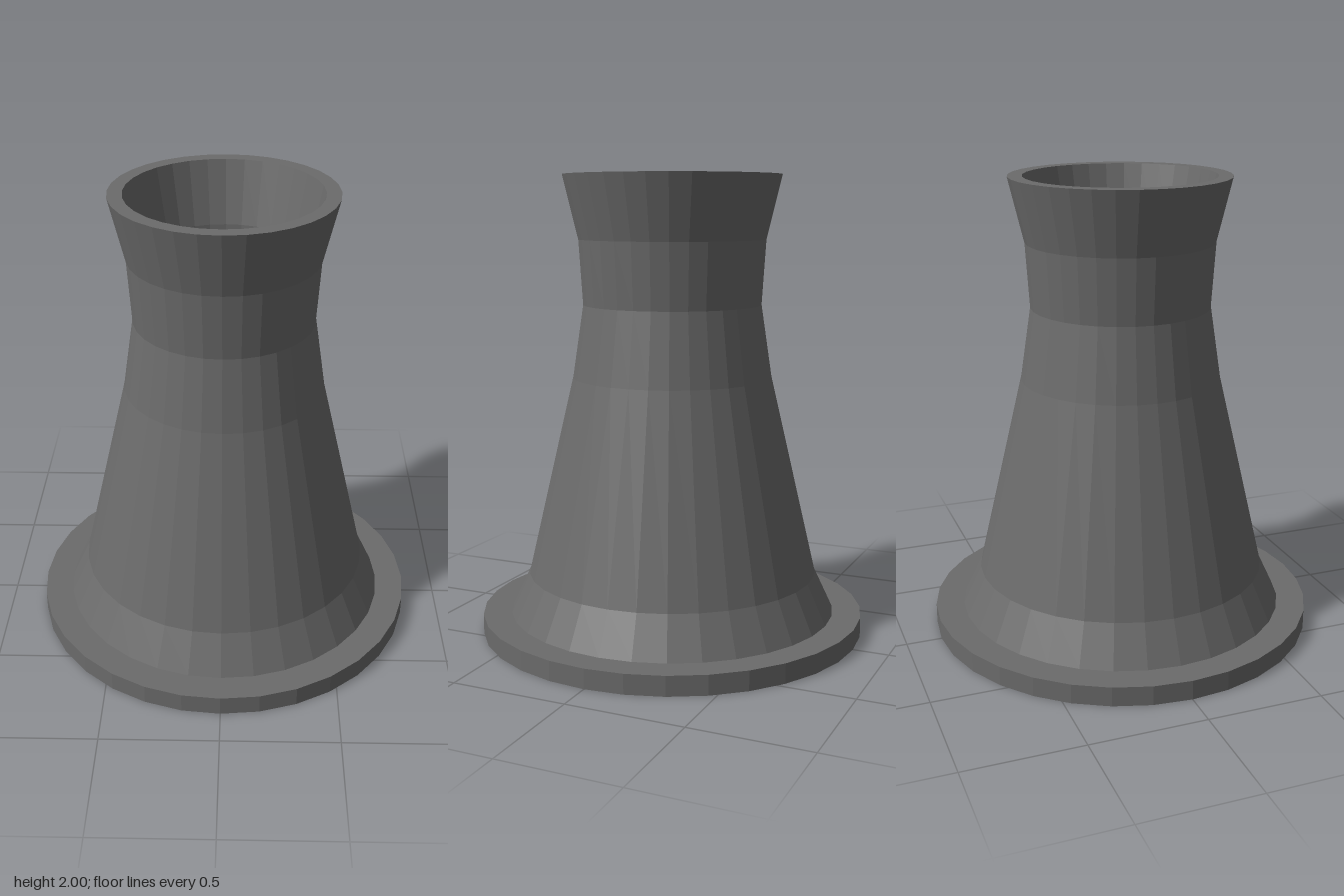
import * as THREE from 'three';

const SIDES = 32;

export function createModel() {
  const concrete = new THREE.MeshStandardMaterial({ color: 0x6b6b6b, flatShading: true });
  concrete.name = 'grey concrete';

  const tower = new THREE.Group();
  tower.name = 'coolingTower';

  // Turn a profile of [radius, height] points around the y axis
  const addTurned = (name, points) => {
    const profile = points.map(([r, y]) => new THREE.Vector2(r, y));
    const mesh = new THREE.Mesh(new THREE.LatheGeometry(profile, SIDES), concrete);
    mesh.name = name;
    tower.add(mesh);
  };

  // Round foundation slab, also the floor of the hollow shell
  addTurned('baseSlab', [[0, 0], [0.845, 0], [0.845, 0.085], [0, 0.085]]);

  // Waisted shell: up the outside, across the rim and down the inside
  addTurned('towerShell', [
    [0.72, 0.085], [0.638, 0.26], [0.435, 1.13], [0.388, 1.445], [0.406, 1.725], [0.472, 2],
    [0.41, 2], [0.352, 1.725], [0.336, 1.445], [0.378, 1.13], [0.58, 0.26], [0.655, 0.085],
  ]);

  return tower;
}
